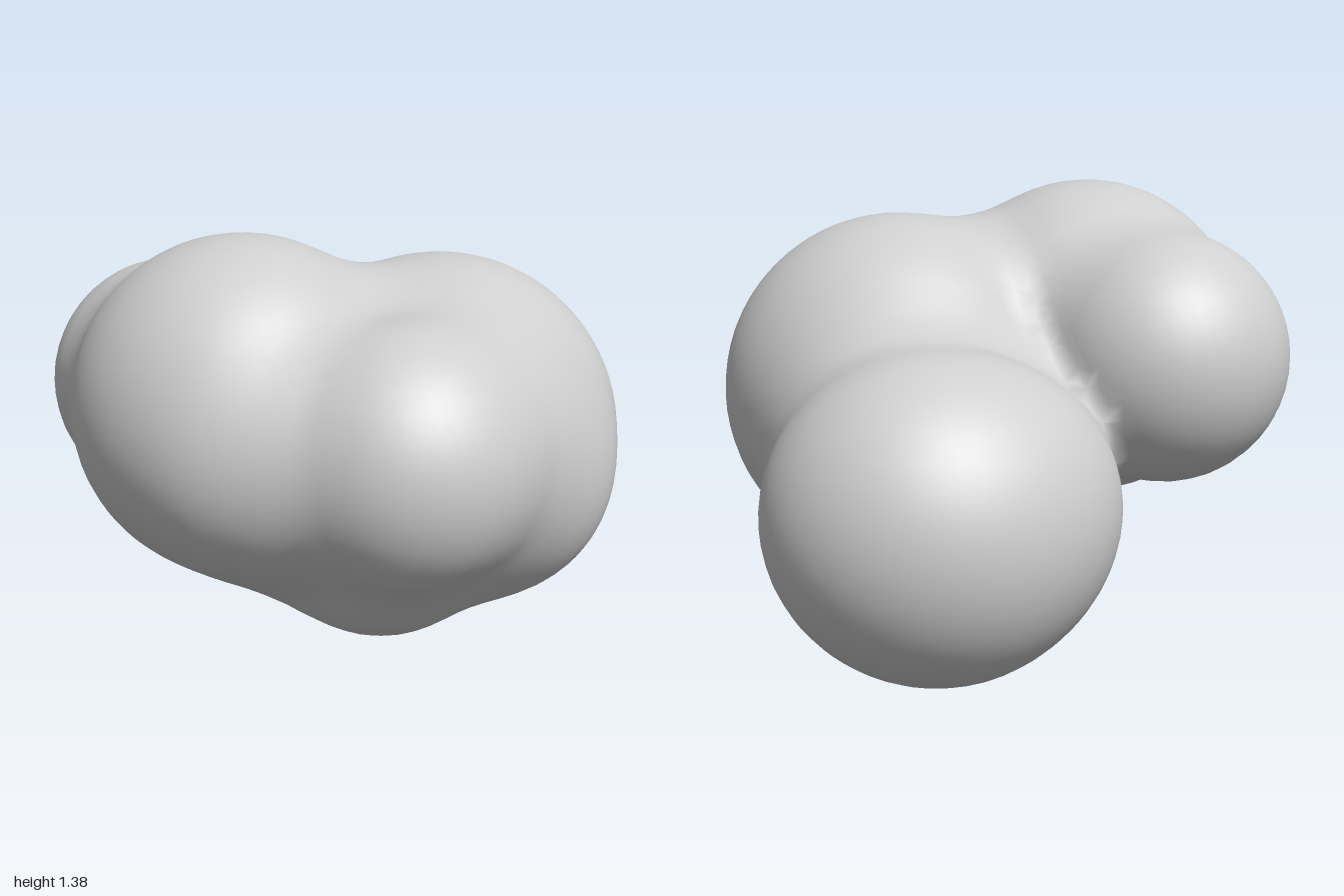
import * as THREE from 'three';

// Overlapping round lobes of the boulder: x, y, z, radius
const LOBES = [
  [0.365, 0.475, -0.52, 0.47],  // low back lobe
  [0.455, 0.50, -0.53, 0.43],   // outer side of the back lobe
  [0.24, 0.51, -0.52, 0.38],    // inner side of the back lobe
  [-0.44, 0.86, -0.32, 0.39],   // upper back lobe
  [-0.38, 0.87, 0.10, 0.515],   // side body
  [0.25, 0.73, 0.17, 0.56],     // main body
  [-0.10, 0.81, 0.60, 0.39],    // front lobe
  [-0.05, 0.57, 0.36, 0.38],    // lower front swell
  [-0.23, 0.65, 0.25, 0.345],   // lower side swell
  [0.30, 0.65, 0.43, 0.34],     // front corner swell
  [0.10, 0.78, 0.45, 0.41],     // saddle from front lobe to main body
  [-0.42, 0.78, 0.33, 0.35],    // front of the side body
  [-0.28, 0.80, 0.42, 0.35],    // saddle from front lobe to side body
  [-0.07, 0.85, 0.17, 0.40],    // saddle between side and main body
  [0.35, 0.61, -0.15, 0.42],    // waist between main body and back lobe
  [0.05, 0.59, -0.15, 0.37],    // underside behind the waist
];
const BLEND = 0.1;

// Signed distance to the softly blended lobes
function field(x, y, z) {
  let d = Infinity;
  for (const [cx, cy, cz, r] of LOBES) {
    const e = Math.hypot(x - cx, y - cy, z - cz) - r;
    const h = Math.max(BLEND - Math.abs(d - e), 0);
    d = Math.min(d, e) - (h * h) / (4 * BLEND);
  }
  return d;
}

function gradient(p) {
  const e = 0.015;
  return new THREE.Vector3(
    field(p.x + e, p.y, p.z) - field(p.x - e, p.y, p.z),
    field(p.x, p.y + e, p.z) - field(p.x, p.y - e, p.z),
    field(p.x, p.y, p.z + e) - field(p.x, p.y, p.z - e)
  ).normalize();
}

// One vertex per grid cell crossed by the surface, one quad per crossed grid edge
function blendedSurface(cell) {
  const min = [-1.1, -0.2, -1.2];
  const n = [2.2, 1.8, 2.4].map((s) => Math.ceil(s / cell));
  const id = (i, j, k) => (i * (n[1] + 1) + j) * (n[2] + 1) + k;
  const values = [];
  for (let i = 0; i <= n[0]; i++)
    for (let j = 0; j <= n[1]; j++)
      for (let k = 0; k <= n[2]; k++)
        values[id(i, j, k)] = field(min[0] + i * cell, min[1] + j * cell, min[2] + k * cell);

  const positions = [], normals = [], indices = [], vertexOf = new Map();
  for (let i = 0; i < n[0]; i++)
    for (let j = 0; j < n[1]; j++)
      for (let k = 0; k < n[2]; k++) {
        let inside = 0;
        for (let c = 0; c < 8; c++)
          if (values[id(i + (c & 1), j + ((c >> 1) & 1), k + (c >> 2))] < 0) inside++;
        if (inside === 0 || inside === 8) continue;
        // Slide the cell centre onto the surface
        const p = new THREE.Vector3(i + 0.5, j + 0.5, k + 0.5).multiplyScalar(cell);
        p.add(new THREE.Vector3(...min));
        for (let s = 0; s < 5; s++) p.addScaledVector(gradient(p), -field(p.x, p.y, p.z));
        vertexOf.set(id(i, j, k), positions.length / 3);
        positions.push(p.x, p.y, p.z);
        normals.push(...gradient(p).toArray());
      }

  for (let i = 1; i < n[0]; i++)
    for (let j = 1; j < n[1]; j++)
      for (let k = 1; k < n[2]; k++)
        for (let axis = 0; axis < 3; axis++) {
          const at = [i, j, k], next = [i, j, k];
          next[axis]++;
          const a = values[id(...at)] < 0, b = values[id(...next)] < 0;
          if (a === b) continue;
          const u = (axis + 1) % 3, v = (axis + 2) % 3;
          const quad = [[1, 1], [0, 1], [0, 0], [1, 0]].map(([du, dv]) => {
            const c = [i, j, k];
            c[u] -= du;
            c[v] -= dv;
            return vertexOf.get(id(...c));
          });
          if (!a) quad.reverse();
          const [q0, q1, q2, q3] = quad;
          indices.push(q0, q1, q2, q0, q2, q3);
        }

  const geometry = new THREE.BufferGeometry();
  geometry.setAttribute('position', new THREE.Float32BufferAttribute(positions, 3));
  geometry.setAttribute('normal', new THREE.Float32BufferAttribute(normals, 3));
  geometry.setIndex(indices);
  return geometry;
}

export function createModel() {
  const stoneGrey = new THREE.MeshStandardMaterial({ color: 0xcfcfcf });
  stoneGrey.name = 'stoneGrey';

  const boulder = new THREE.Mesh(blendedSurface(0.05), stoneGrey);
  boulder.name = 'boulder';

  const group = new THREE.Group();
  group.name = 'lobedBoulder';
  group.add(boulder);
  return group;
}
